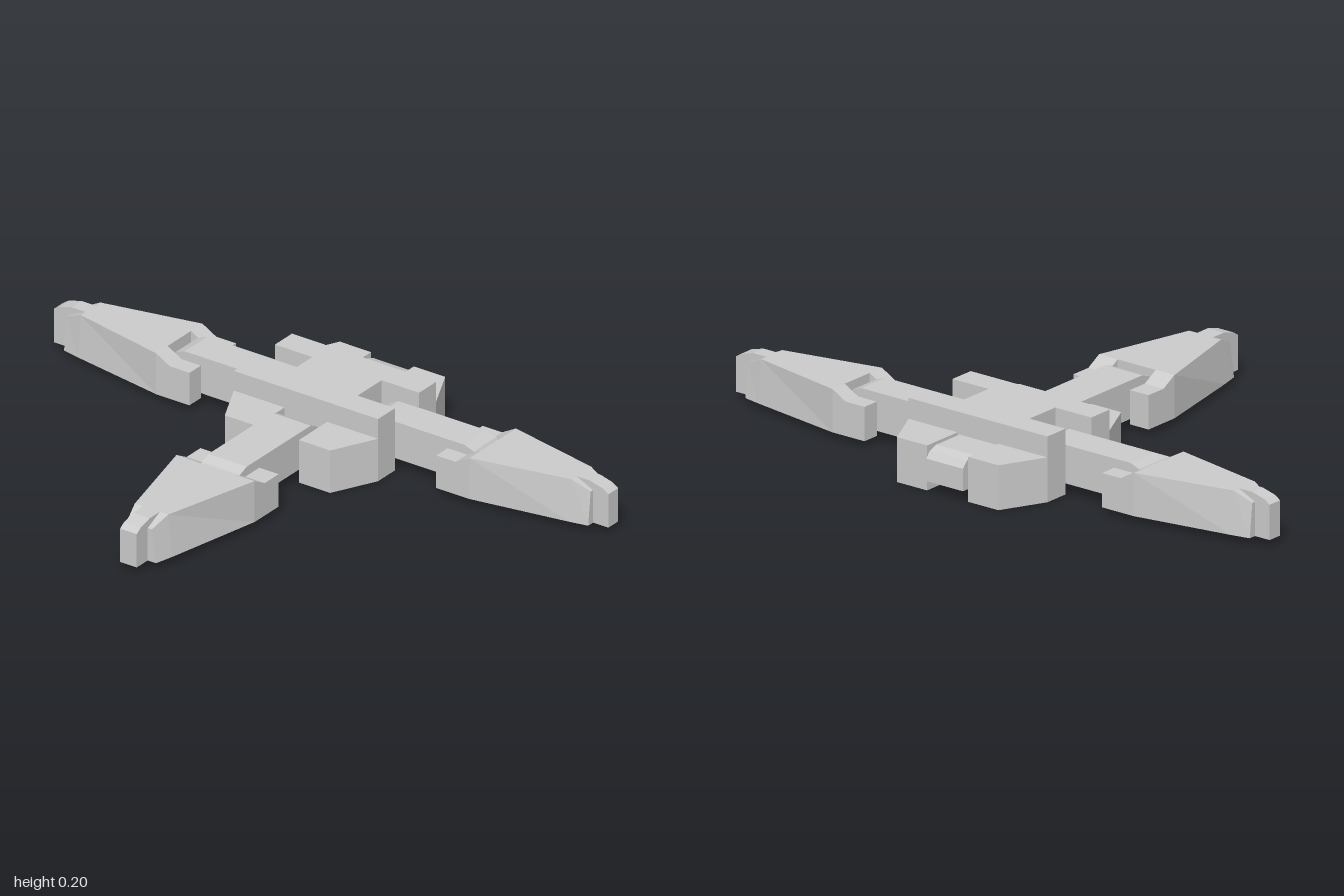
import * as THREE from 'three';

const grey = new THREE.MeshStandardMaterial({ color: 0xcccccc, flatShading: true });
const HUB_Z = -0.366;

function part(name, geometry) {
  const mesh = new THREE.Mesh(geometry, grey);
  mesh.name = name;
  return mesh;
}

const shapeOf = (points) => new THREE.Shape(points.map(([a, b]) => new THREE.Vector2(a, b)));

// Side profile of [z, y] points given a width along x
function profile(points, width, x = 0) {
  const g = new THREE.ExtrudeGeometry(shapeOf(points), { depth: width, bevelEnabled: false });
  return g.rotateY(-Math.PI / 2).translate(x + width / 2, 0, 0);
}

// Plan outline of [x, z] points raised from y0 to y1
function plate(points, y0, y1) {
  const flipped = points.map(([x, z]) => [x, -z]);
  const g = new THREE.ExtrudeGeometry(shapeOf(flipped), { depth: y1 - y0, bevelEnabled: false });
  return g.rotateX(-Math.PI / 2).translate(0, y0, 0);
}

// Trapezoid sections [z, bottom half width, top half width, top y] joined along z
function loft(sections, y0) {
  const pos = [], idx = [];
  sections.forEach(([z, b, t, y]) => pos.push(-b, y0, z, b, y0, z, t, y, z, -t, y, z));
  for (let i = 0; i < sections.length - 1; i++) {
    for (let j = 0; j < 4; j++) {
      const a = i * 4 + j, b = i * 4 + (j + 1) % 4;
      idx.push(a, b, b + 4, a, b + 4, a + 4);
    }
  }
  const e = (sections.length - 1) * 4;
  idx.push(0, 2, 1, 0, 3, 2, e, e + 1, e + 2, e, e + 2, e + 3);
  const g = new THREE.BufferGeometry();
  g.setAttribute('position', new THREE.Float32BufferAttribute(pos, 3));
  g.setIndex(idx);
  const flat = g.toNonIndexed();
  flat.computeVertexNormals();
  return flat;
}

// Arm pointing along +z, its prongs starting at z = 0
function createArm(name, widthScale) {
  const arm = new THREE.Group();
  arm.name = name;

  // Link bar with rounded ends
  arm.add(part('linkBar', profile([
    [-0.315, 0.035], [0.12, 0.035], [0.12, 0.08], [0.112, 0.115], [0.092, 0.143], [0.06, 0.155],
    [-0.26, 0.155], [-0.29, 0.14], [-0.308, 0.115], [-0.315, 0.08],
  ], 0.138)));

  // Prongs beside the bar
  for (const side of [-1, 1]) {
    arm.add(part('prong', profile([
      [0, 0.02], [0.12, 0.02], [0.12, 0.155], [0.07, 0.127], [0, 0.127],
    ], 0.07, side * 0.106)));
  }

  // Tapered blade and the narrow nose beyond it
  arm.add(part('blade', loft([
    [0.12, 0.141, 0.141, 0.155], [0.44, 0.075, 0.06, 0.155], [0.5, 0.06, 0.045, 0.127],
  ], 0.02)));
  arm.add(part('nose', profile([
    [0.4, 0.02], [0.555, 0.02], [0.555, 0.13], [0.535, 0.143], [0.49, 0.155], [0.4, 0.155],
  ], 0.06)));

  arm.scale.x = widthScale;
  return arm;
}

export function createModel() {
  const model = new THREE.Group();
  model.name = 'threeArmedHub';

  // Hub: one quarter outline [x, z] mirrored all round, with a slot on each side
  const mirror = (quarter) => {
    const half = [...quarter, ...quarter.map(([x, z]) => [x, -z]).reverse()];
    return [...half, ...half.map(([x, z]) => [-x, z]).reverse()];
  };
  const hub = new THREE.Group();
  hub.name = 'hub';
  hub.position.z = HUB_Z;
  hub.add(part('hubBase', plate(mirror([
    [0.077, 0.145], [0.077, 0.287], [0.19, 0.287], [0.26, 0.145], [0.26, 0.06], [0.125, 0.06],
  ]), 0, 0.14)));
  hub.add(part('hubTop', plate(mirror([
    [0.26, 0.145], [0.26, 0.06], [0.125, 0.06],
  ]), 0.14, 0.205)));
  model.add(hub);

  // Rounded stub in the back slot
  model.add(part('backStub', profile([
    [-0.667, 0.035], [-0.5, 0.035], [-0.5, 0.135], [-0.62, 0.135], [-0.65, 0.125], [-0.667, 0.105],
  ], 0.138)));

  // Arms
  const front = createArm('frontArm', 1);
  front.position.z = 0.11;
  model.add(front);
  for (const side of [-1, 1]) {
    const arm = createArm(side > 0 ? 'leftArm' : 'rightArm', 0.82);
    arm.rotation.y = side * Math.PI / 2;
    arm.position.set(side * 0.445, 0, HUB_Z - 0.005);
    model.add(arm);
  }
  return model;
}
